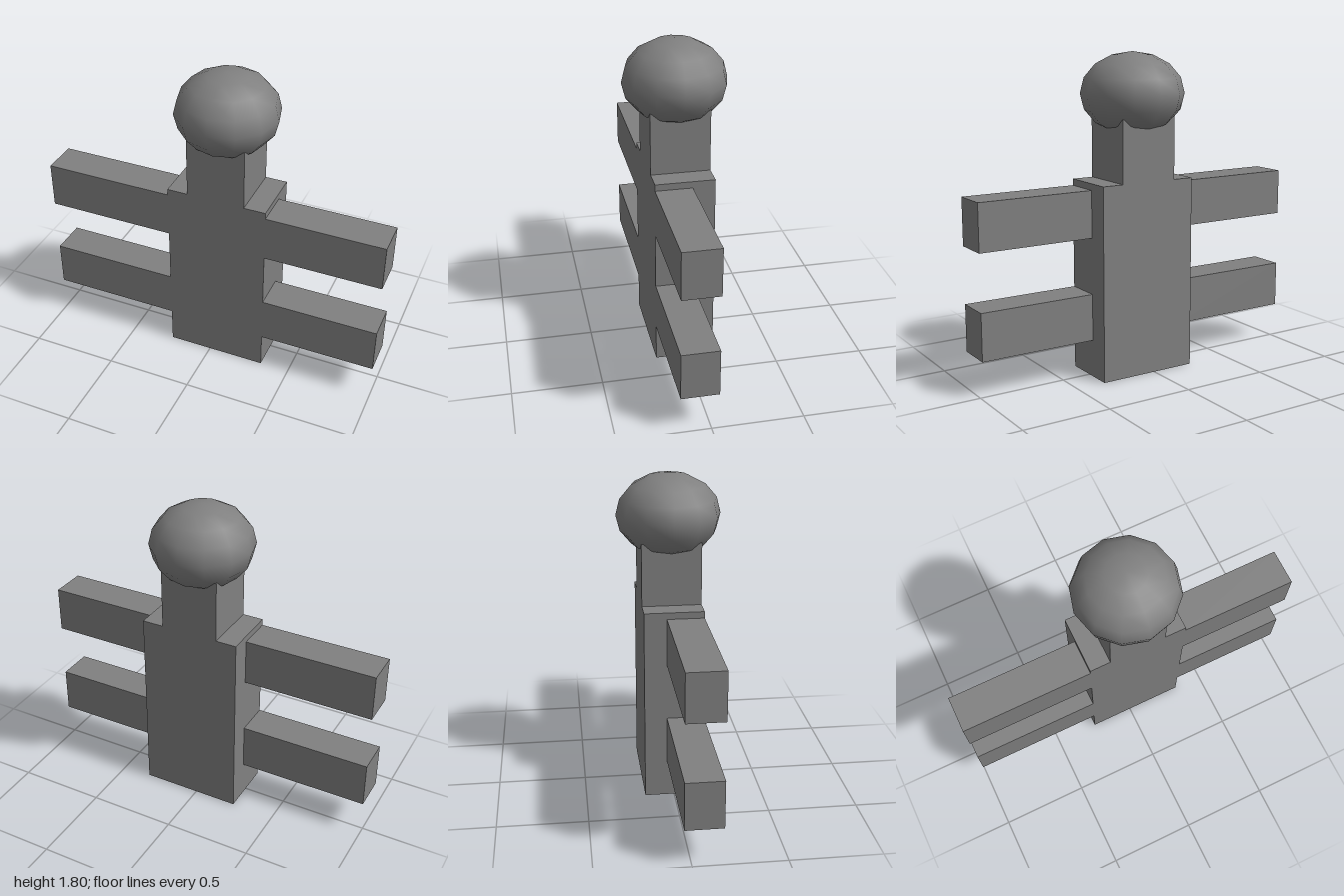
import * as THREE from 'three';

export function createModel() {
  const model = new THREE.Group();
  model.name = 'blockFigure';
  const grey = new THREE.MeshStandardMaterial({ color: 0x808080 });
  grey.name = 'grey';

  // Box given by its lower and upper limits on each axis
  function addBox(name, [x0, x1], [y0, y1], [z0, z1]) {
    const mesh = new THREE.Mesh(new THREE.BoxGeometry(x1 - x0, y1 - y0, z1 - z0), grey);
    mesh.position.set((x0 + x1) / 2, (y0 + y1) / 2, (z0 + z1) / 2);
    mesh.name = name;
    model.add(mesh);
  }

  // Torso and neck share the same depth
  const depth = [-0.165, 0.165];
  const torso = [-0.25, 0.33];
  addBox('torso', torso, [0, 1.1], depth);
  addBox('neck', [-0.13, 0.205], [1.1, 1.45], depth);

  // Arms and legs stick straight out to the sides, flush with the front
  const limbDepth = [-0.041, 0.165];
  for (const [name, height] of [['Arm', [0.797, 1.063]], ['Leg', [0.212, 0.478]]]) {
    addBox('right' + name, [-1, torso[0]], height, limbDepth);
    addBox('left' + name, [torso[1], 1], height, limbDepth);
  }

  // Flattened round head
  const head = new THREE.Mesh(new THREE.SphereGeometry(0.29, 12, 8), grey);
  head.name = 'head';
  head.scale.y = 0.23 / 0.29;
  head.position.set(0.04, 1.575, 0);
  model.add(head);

  return model;
}
